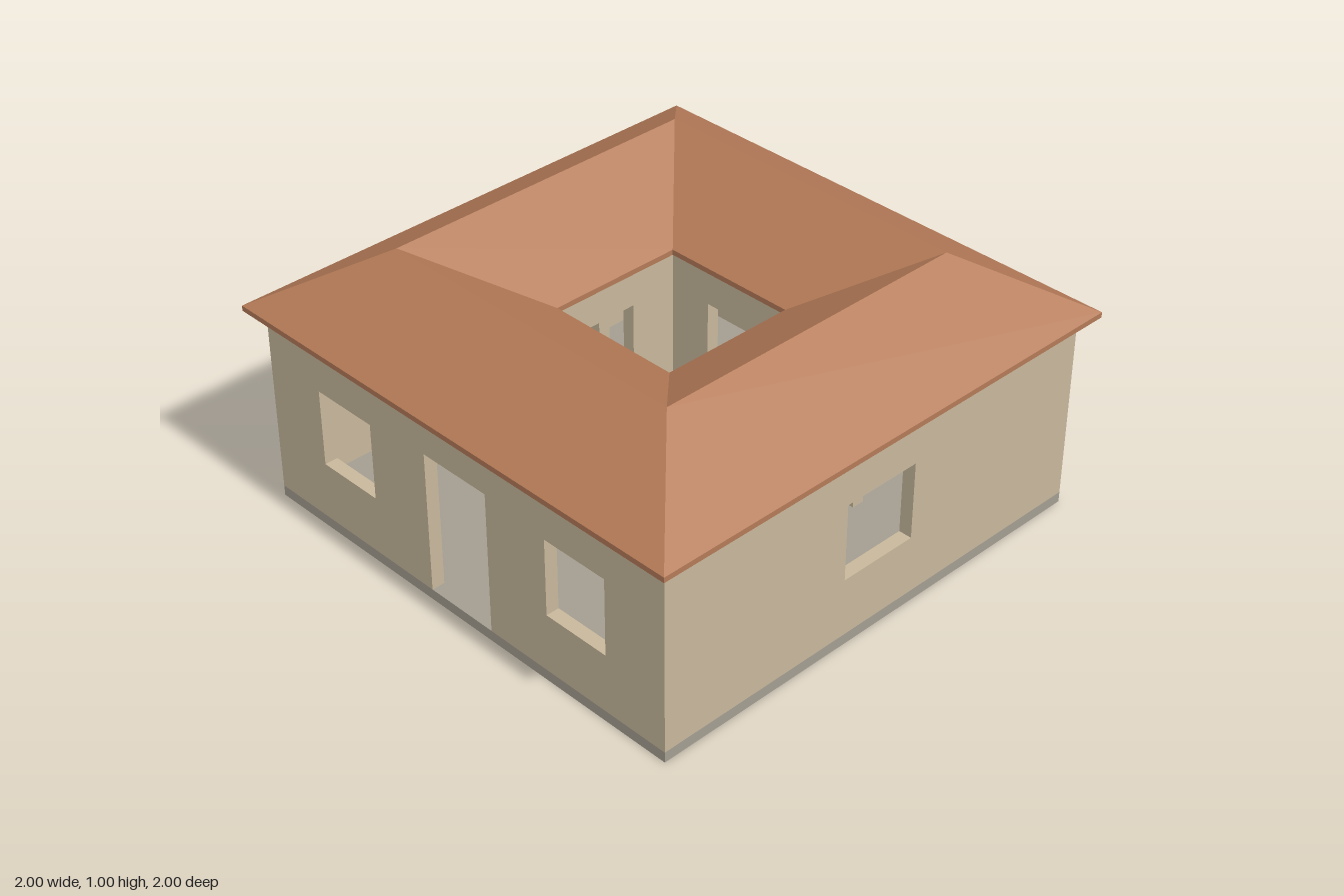
import * as THREE from 'three';

const wallPaint = new THREE.MeshStandardMaterial({ color: 0xc8b89c });
wallPaint.name = 'beige wall';
const roofTile = new THREE.MeshStandardMaterial({ color: 0xb47a57 });
roofTile.name = 'terracotta roof';
const stone = new THREE.MeshStandardMaterial({ color: 0xa49e91 });
stone.name = 'grey stone';

const FLOOR = 0.04, EAVE = 0.755, THICK = 0.05;
const DOOR_TOP = 0.585, SILL = 0.265, HEAD = 0.56;

// Upright wall from x0 to x1, its outer face at z = 0 and its body behind.
// doors and windows are [left, right] spans along x.
function wall(name, x0, x1, doors = [], windows = []) {
  const shape = new THREE.Shape();
  shape.moveTo(x0, FLOOR);
  for (const [a, b] of doors) {
    shape.lineTo(a, FLOOR);
    shape.lineTo(a, DOOR_TOP);
    shape.lineTo(b, DOOR_TOP);
    shape.lineTo(b, FLOOR);
  }
  shape.lineTo(x1, FLOOR);
  shape.lineTo(x1, EAVE);
  shape.lineTo(x0, EAVE);
  shape.closePath();
  for (const [a, b] of windows) {
    const hole = new THREE.Path();
    hole.moveTo(a, SILL);
    hole.lineTo(a, HEAD);
    hole.lineTo(b, HEAD);
    hole.lineTo(b, SILL);
    hole.closePath();
    shape.holes.push(hole);
  }
  const geometry = new THREE.ExtrudeGeometry(shape, { depth: THICK, bevelEnabled: false });
  geometry.translate(0, 0, -THICK);
  const mesh = new THREE.Mesh(geometry, wallPaint);
  mesh.name = name;
  return mesh;
}

// Place a wall at a distance from the centre, turned to face a side.
function place(group, mesh, distance, turn) {
  mesh.rotation.y = turn;
  mesh.position.set(Math.sin(turn) * distance, 0, Math.cos(turn) * distance);
  group.add(mesh);
}

export function createModel() {
  const house = new THREE.Group();
  house.name = 'courtyardHouse';

  // Floor slab
  const slab = new THREE.Mesh(new THREE.BoxGeometry(1.89, FLOOR, 1.89), stone);
  slab.name = 'floorSlab';
  slab.position.y = FLOOR / 2;
  house.add(slab);

  // Outer walls
  const outer = new THREE.Group();
  outer.name = 'outerWalls';
  const middle = [-0.157, 0.157];
  place(outer, wall('frontWall', -0.945, 0.945, [[-0.147, 0.147]],
    [[-0.687, -0.42], [0.42, 0.687]]), 0.945, 0);
  place(outer, wall('backWall', -0.945, 0.945, [], [middle]), 0.945, Math.PI);
  for (const side of [-1, 1]) {
    place(outer, wall('sideWall', -0.895, 0.895, [], [middle]), 0.945, side * Math.PI / 2);
  }
  house.add(outer);

  // Walls around the courtyard, each with a doorway
  const court = new THREE.Group();
  court.name = 'courtyardWalls';
  for (const turn of [0, Math.PI]) {
    place(court, wall('courtyardWall', -0.37, 0.37, [[-0.148, 0.148]]), 0.37, turn);
  }
  for (const side of [-1, 1]) {
    place(court, wall('courtyardSideWall', -0.32, 0.32, [[-0.13, 0.13]]), 0.37, side * Math.PI / 2);
  }
  house.add(court);

  // Partitions between the wings
  const partitions = new THREE.Group();
  partitions.name = 'partitions';
  for (const turn of [0, Math.PI]) {
    place(partitions, wall('partition', -0.895, -0.37, [[-0.76, -0.51]]), 0.42, turn);
    place(partitions, wall('partition', 0.37, 0.895, [[0.51, 0.76]]), 0.42, turn);
  }
  house.add(partitions);

  // Ring roof: a closed profile turned in four flat sides
  const profile = [[0.265, EAVE], [1, EAVE], [1, 0.775], [0.63, 1], [0.265, 0.775], [0.265, EAVE]]
    .map(([r, y]) => new THREE.Vector2(r * Math.SQRT2, y));
  const roofGeometry = new THREE.LatheGeometry(profile, 4, Math.PI / 4).toNonIndexed();
  roofGeometry.computeVertexNormals();
  const roof = new THREE.Mesh(roofGeometry, roofTile);
  roof.name = 'roof';
  house.add(roof);

  return house;
}
